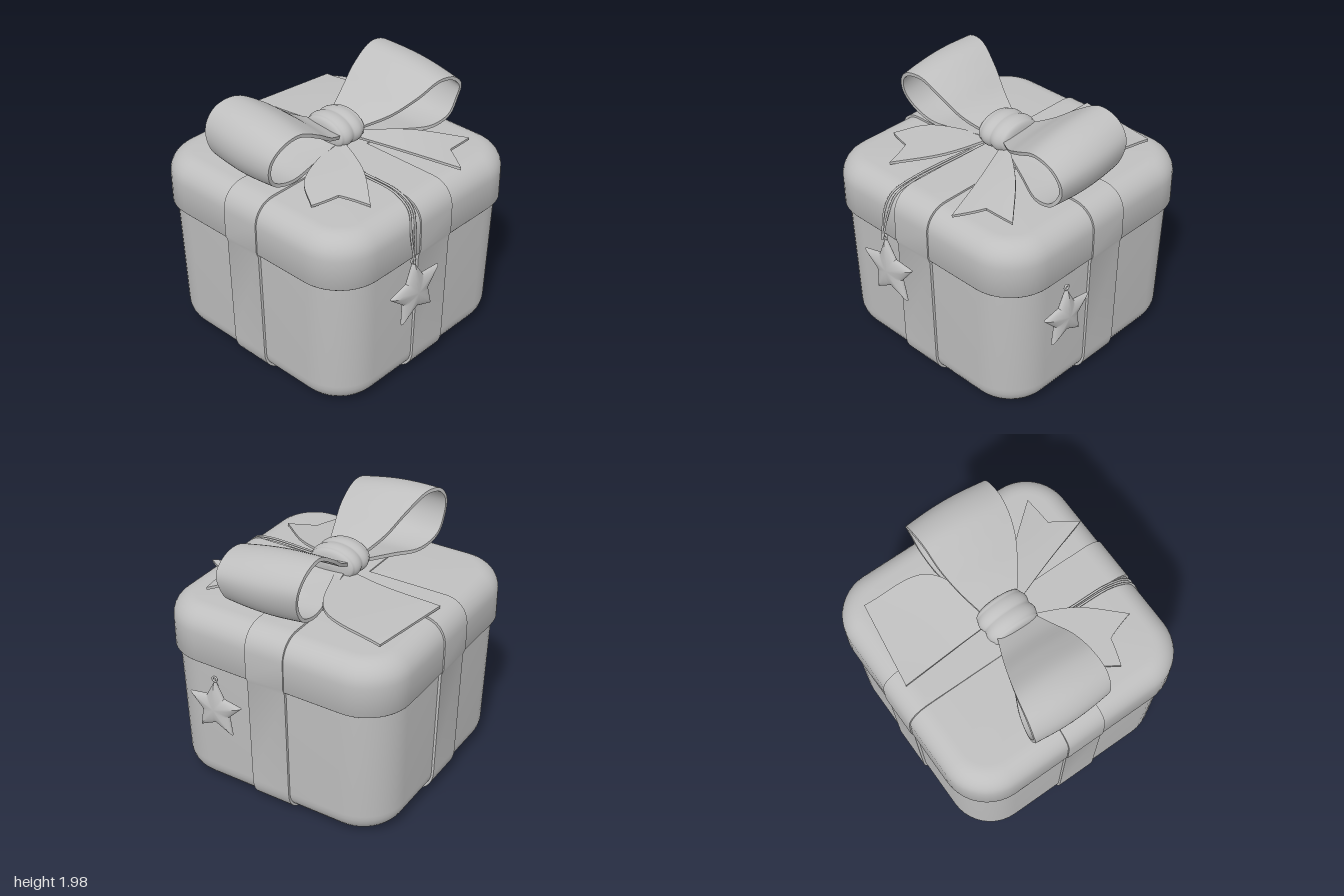
import * as THREE from 'three';
import { toCreasedNormals } from 'three/addons/utils/BufferGeometryUtils.js';

const CX = -0.037, CZ = 0.022; // centre of the box
const V = (x, y, z) => new THREE.Vector3(x, y, z);

// Skin over rows of points; every row is a closed ring
function skin(rows, crease = 0.7) {
  const n = rows[0].length, index = [];
  for (let i = 0; i < rows.length - 1; i++) {
    for (let j = 0; j < n; j++) {
      const a = i * n + j, b = i * n + (j + 1) % n, c = a + n, d = b + n;
      index.push(a, c, b, b, c, d);
    }
  }
  const g = new THREE.BufferGeometry();
  g.setAttribute('position', new THREE.Float32BufferAttribute(rows.flat().flatMap(p => [p.x, p.y, p.z]), 3));
  g.setIndex(index);
  return toCreasedNormals(g, crease);
}

// Rounded square ring with half width a and corner radius r
function squareRing([a, r, y]) {
  const pts = [];
  for (let k = 0; k < 4; k++) {
    for (let i = 0; i <= 10; i++) {
      const t = (k + i / 10) * Math.PI / 2;
      const mid = (k + 0.5) * Math.PI / 2, o = (a - r) * Math.SQRT2;
      pts.push(V(CX + o * Math.cos(mid) + r * Math.cos(t), y, CZ + o * Math.sin(mid) + r * Math.sin(t)));
    }
  }
  return pts;
}

// Quarter-round rows for the edge of a box
function roundEdge(a, r, y, e, from, to) {
  return Array.from({ length: 9 }, (_, i) => {
    const t = THREE.MathUtils.lerp(from, to, i / 8), inset = e * (1 - Math.cos(t));
    return [a - inset, r - inset, y + e * Math.sin(t)];
  });
}

// Cloth strip between two edge curves, with thickness, crown and optional end notch
function cloth(left, right, { thick = 0.02, bulge = 0, notch = 0, steps = 48 } = {}) {
  const L = new THREE.CatmullRomCurve3(left), R = new THREE.CatmullRomCurve3(right), M = 12;
  const at = (u, v) => {
    const w = THREE.MathUtils.clamp(u * (1 - notch * (1 - Math.abs(2 * v - 1))), 0, 1);
    return L.getPoint(w).lerp(R.getPoint(w), v);
  };
  const row = (u, t) => {
    const side = s => Array.from({ length: M + 1 }, (_, j) => {
      const v = s > 0 ? j / M : 1 - j / M;
      const du = at(Math.min(u + 0.01, 1), v).sub(at(Math.max(u - 0.01, 0), v));
      const n = du.cross(R.getPoint(u).sub(L.getPoint(u))).normalize();
      return at(u, v).addScaledVector(n, s * t / 2 + bulge * Math.sin(Math.PI * v) * Math.sin(Math.PI * u));
    });
    return [...side(1), ...side(-1)];
  };
  const rows = [row(0, 0)];
  for (let i = 0; i <= steps; i++) rows.push(row(i / steps, thick));
  rows.push(row(1, 0));
  return skin(rows, 0.9);
}

// Bow loop from rows of [z, y, left x, right x]; the right edge droops by tilt
function bowLoop(rows, tilt, bulge) {
  const left = rows.map(([z, y, l]) => V(l, y, z));
  const right = rows.map(([z, y, , r]) => V(r, y - tilt * (y - 1.5) / 0.5, z));
  return cloth(left, right, { thick: 0.026, bulge, steps: 64 });
}

// Puffed five-pointed star facing +z
function starGeometry(R, depth) {
  const g = new THREE.SphereGeometry(1, 60, 16).rotateX(Math.PI / 2);
  const p = g.attributes.position, q = 0.52, h = Math.PI / 5;
  for (let i = 0; i < p.count; i++) {
    const x = p.getX(i), y = p.getY(i);
    let a = (Math.atan2(x, y) + 4 * Math.PI) % (2 * h);
    if (a > h) a = 2 * h - a;
    const r = R * q * Math.sin(h) / (Math.sin(a) + q * Math.sin(h - a));
    p.setXYZ(i, x * r, y * r, p.getZ(i) * depth);
  }
  return toCreasedNormals(g, 0.6);
}

export function createModel() {
  const group = new THREE.Group();
  const grey = new THREE.MeshStandardMaterial({ color: 0xbfbfbf });
  grey.name = 'plain grey';
  const add = (name, geometry, parent = group) => {
    const m = new THREE.Mesh(geometry, grey);
    m.name = name;
    parent.add(m);
    return m;
  };
  const H = Math.PI / 2;

  // Box body with a rounded foot
  add('boxBody', skin([
    [0.001, 0.0005, 0.012], [0.6, 0.1, 0.012],
    ...roundEdge(0.885, 0.33, 0.192, 0.18, -H, 0),
    [0.905, 0.33, 1.1],
  ].map(squareRing)));

  // Lid with a soft top edge and an overhanging lip
  add('lid', skin([
    [0.88, 0.31, 1.075], [0.925, 0.335, 1.07], [0.932, 0.34, 1.08],
    ...roundEdge(0.932, 0.34, 1.3, 0.165, 0, H),
    [0.4, 0.1, 1.472], [0.001, 0.0005, 1.474],
  ].map(squareRing)));

  // Two ribbon bands wrapped around the box
  const half = new THREE.Shape();
  half.moveTo(0.7, 0);
  half.bezierCurveTo(0.83, 0, 0.9, 0.08, 0.903, 0.2);
  half.lineTo(0.924, 1.05);
  half.lineTo(0.942, 1.1);
  half.lineTo(0.942, 1.3);
  half.bezierCurveTo(0.942, 1.41, 0.87, 1.482, 0.76, 1.482);
  const side = half.getPoints(10);
  const outline = new THREE.Shape([...side, ...side.map(p => new THREE.Vector2(-p.x, p.y)).reverse()]);
  const band = width => toCreasedNormals(
    new THREE.ExtrudeGeometry(outline, { depth: width, bevelEnabled: false }).translate(0, 0, -width / 2), 0.6);
  add('sideRibbon', band(0.32)).position.set(CX, 0, 0.03);
  const front = add('frontRibbon', band(0.305));
  front.rotation.y = H;
  front.position.set(CX, 0, CZ);

  // Bow loops
  const bow = new THREE.Group();
  bow.name = 'bow';
  group.add(bow);
  add('frontLoop', bowLoop([
    [0.1, 1.65, -0.18, 0.1], [0.28, 1.74, -0.26, 0.16], [0.45, 1.87, -0.33, 0.2],
    [0.63, 1.965, -0.39, 0.21], [0.78, 1.94, -0.42, 0.21], [0.86, 1.84, -0.43, 0.19],
    [0.865, 1.71, -0.42, 0.17], [0.79, 1.58, -0.41, 0.14], [0.62, 1.515, -0.36, 0.13],
    [0.4, 1.54, -0.26, 0.11], [0.1, 1.59, -0.15, 0.08],
  ], 0.07, 0.022), bow);
  add('backLoop', bowLoop([
    [-0.06, 1.65, -0.17, 0.1], [-0.25, 1.75, -0.23, 0.24], [-0.42, 1.87, -0.27, 0.33],
    [-0.6, 1.965, -0.28, 0.37], [-0.75, 1.93, -0.28, 0.38], [-0.83, 1.83, -0.27, 0.38],
    [-0.82, 1.7, -0.25, 0.36], [-0.74, 1.57, -0.24, 0.36], [-0.58, 1.515, -0.23, 0.33],
    [-0.35, 1.54, -0.2, 0.22], [-0.06, 1.59, -0.15, 0.08],
  ], 0.09, -0.022), bow);

  // Knot with three folds
  const profile = [];
  for (let i = 0; i <= 36; i++) {
    const t = i / 36 * 2 - 1;
    const r = Math.pow(Math.max(0, 1 - t ** 8), 0.5) * (0.93 + 0.07 * Math.abs(Math.cos(1.5 * Math.PI * t + H)));
    profile.push(new THREE.Vector2(r, t));
  }
  const knot = add('knot', new THREE.LatheGeometry(profile, 40).rotateX(H), bow);
  knot.scale.set(0.195, 0.125, 0.145);
  knot.position.set(-0.042, 1.625, 0.03);

  // Ribbon tails lying on the lid
  const tail = (name, a, b, notch) => add(name, cloth(a.map(p => V(...p)), b.map(p => V(...p)), { notch }), bow);
  tail('backLeftTail',
    [[-0.1, 1.58, -0.02], [-0.4, 1.53, -0.02], [-0.86, 1.497, 0]],
    [[-0.08, 1.58, -0.1], [-0.3, 1.57, -0.57], [-0.77, 1.505, -0.65]], 0);
  tail('backRightTail',
    [[0.04, 1.58, -0.06], [0.3, 1.56, -0.37], [0.62, 1.5, -0.65]],
    [[0.06, 1.57, -0.02], [0.45, 1.53, -0.17], [0.83, 1.495, -0.3]], 0.13);
  tail('frontRightTail',
    [[0.06, 1.58, 0.07], [0.4, 1.54, 0.22], [0.69, 1.495, 0.46]],
    [[0.03, 1.57, 0.1], [0.2, 1.53, 0.58], [0.41, 1.495, 0.73]], 0.16);

  // Twin string running over the lid to the side star
  for (const s of [-1, 1]) {
    const path = [
      [0.05, 1.53, 0.13], [0.3, 1.495, 0.19 + s * 0.01], [0.7, 1.488, 0.21 + s * 0.014],
      [0.85, 1.43, 0.24 + s * 0.018], [0.905, 1.28, 0.275 + s * 0.02], [0.94, 1.06, 0.29],
    ].map(p => V(...p));
    add('string', new THREE.TubeGeometry(new THREE.CatmullRomCurve3(path), 40, 0.008, 6));
  }

  // Star charms on the side and the back, each with a hanging ring
  const charm = (name, radius, position, turn, lean) => {
    const g = new THREE.Group();
    g.name = name;
    add('star', starGeometry(radius, 0.04), g);
    add('starRing', new THREE.TorusGeometry(0.018, 0.008, 8, 16), g).position.y = radius + 0.012;
    g.position.set(...position);
    g.rotation.set(0, turn, lean, 'YXZ');
    group.add(g);
  };
  charm('sideStar', 0.26, [0.92, 0.81, 0.255], H, 0.1);
  charm('backStar', 0.23, [0.38, 0.745, -0.92], Math.PI, 0);

  return group;
}
